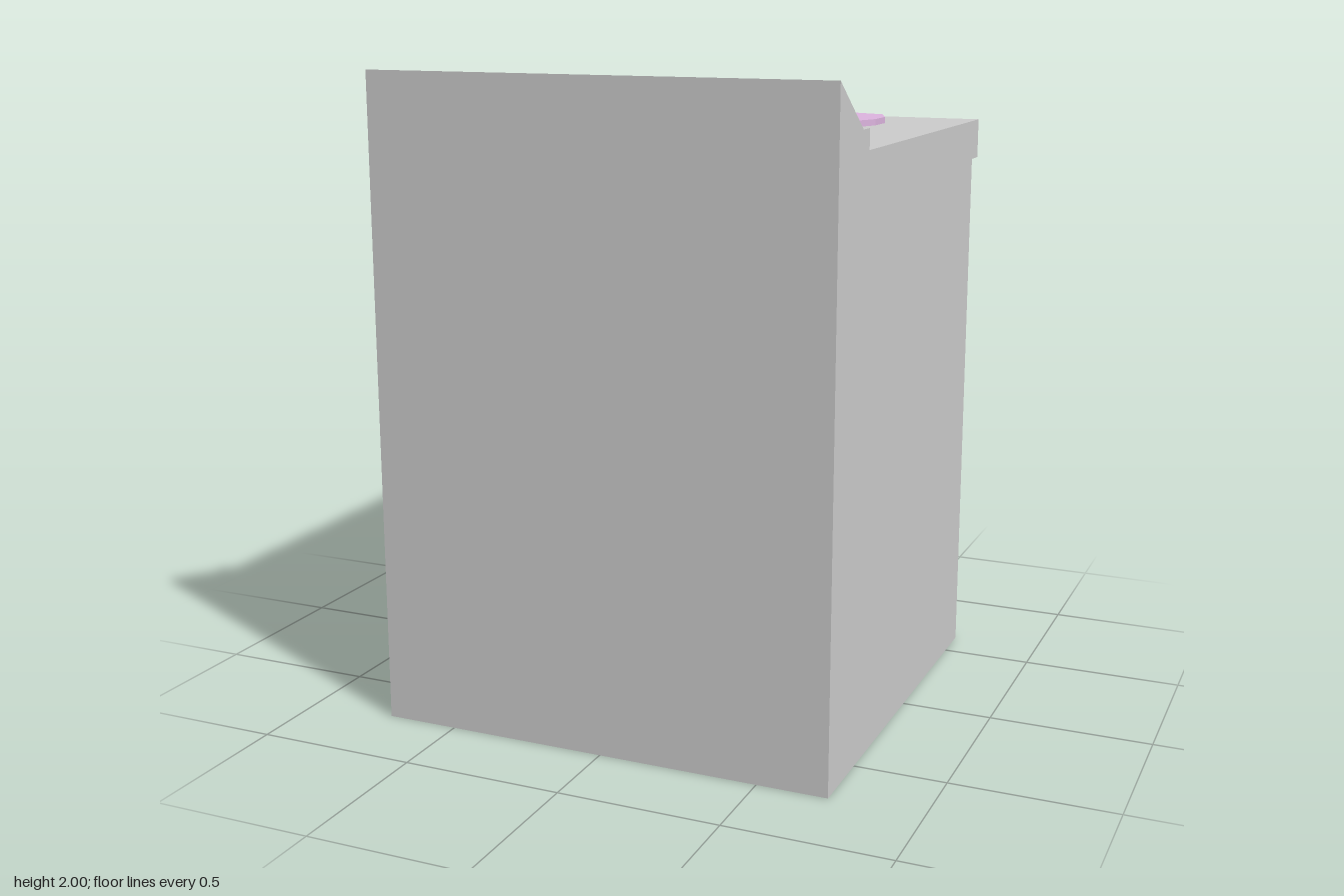
import * as THREE from 'three';

const mat = (color) => new THREE.MeshStandardMaterial({ color });
const grey = mat(0xcccccc);
const rose = mat(0xc8a5a3);
const glass = mat(0xb0b3b2);
const lilac = mat(0xdcb4de);
const black = mat(0x111111);

const DOOR_X = [-0.685, 0.67];

function add(parent, name, geometry, material) {
  const mesh = new THREE.Mesh(geometry, material);
  mesh.name = name;
  parent.add(mesh);
  return mesh;
}

// Box given by its limits on each axis
function slab([x0, x1], [y0, y1], [z0, z1], xSegs = 1, ySegs = 1) {
  const g = new THREE.BoxGeometry(x1 - x0, y1 - y0, z1 - z0, xSegs, ySegs, 1);
  return g.translate((x0 + x1) / 2, (y0 + y1) / 2, (z0 + z1) / 2);
}

// Pushes the vertices of the outer (-z) face outwards by a rule
function bulge(g, rule) {
  g.computeBoundingBox();
  const outer = g.boundingBox.min.z;
  const p = g.attributes.position;
  for (let i = 0; i < p.count; i++) {
    if (p.getZ(i) < outer + 1e-4) p.setZ(i, outer - rule(p.getX(i), p.getY(i)));
  }
  g.computeVertexNormals();
  return g;
}

const arch = (x) => Math.max(0, 1 - (x / 0.68) ** 2);

// Twelve-sided hotplate with soft corners
function hotplate(rx, rz, height, squareBack) {
  const quarter = [[1, 0.26], [0.8, 0.82], [0.32, 1]];
  const pts = [];
  for (const [sx, sz] of [[1, 1], [-1, 1], [-1, -1], [1, -1]]) {
    const corner = quarter.map(([x, z], i) =>
      new THREE.Vector2(sx * x * rx, sz * rz * (squareBack && i === 1 && sz > 0 ? 0.93 : z)));
    pts.push(...(sx * sz > 0 ? corner : corner.reverse()));
  }
  const g = new THREE.ExtrudeGeometry(new THREE.Shape(pts), { depth: height, bevelEnabled: false });
  return g.rotateX(-Math.PI / 2);
}

export function createModel() {
  const stove = new THREE.Group();
  stove.name = 'stove';

  // Body, cooktop lip and sloping backguard share one side profile (z, y)
  const profile = [
    [0.73, 0], [0.73, 2], [0.53, 1.86], [0.475, 1.86], [0.475, 1.8],
    [-0.7, 1.8], [-0.7, 1.675], [-0.63, 1.675], [-0.63, 0],
  ].map(([z, y]) => new THREE.Vector2(-z, y));
  const body = new THREE.ExtrudeGeometry(new THREE.Shape(profile), { depth: 1.445, bevelEnabled: false });
  body.rotateY(Math.PI / 2).translate(-0.727, 0, 0);
  add(stove, 'body', body, grey);

  // Control display on the backguard slope
  const display = add(stove, 'display', new THREE.BoxGeometry(0.135, 0.016, 0.165), black);
  display.position.set(-0.478, 1.925 + 0.014, 0.617);
  display.rotation.x = -Math.atan2(0.14, 0.2);

  // Hotplates
  const plates = [
    [-0.296, -0.375, 0.129, 0.122, 0.015],
    [0.28, -0.374, 0.2, 0.187, 0.02],
    [-0.296, 0.143, 0.219, 0.213, 0.015],
    [0.282, 0.14, 0.162, 0.141, 0.015, true],
  ];
  for (const [x, z, rx, rz, h, squareBack] of plates) {
    add(stove, 'hotplate', hotplate(rx, rz, h, squareBack), lilac).position.set(x, 1.8, z);
  }

  // Oven door: backing, bowed frame strips and window
  const door = new THREE.Group();
  door.name = 'ovenDoor';
  stove.add(door);
  add(door, 'doorBacking', slab(DOOR_X, [0.45, 1.63], [-0.652, -0.625]), grey);
  const frameX = [DOOR_X[0] + 0.012, DOOR_X[1] - 0.012];
  const frameZ = [-0.66, -0.64];
  const strips = [
    [frameX, [1.41, 1.618], 0],
    [frameX, [1.22, 1.41], 0.025],
    [frameX, [0.462, 0.545], 0.01],
    [[frameX[0], -0.59], [0.545, 1.22], 0.006],
    [[0.575, frameX[1]], [0.545, 1.22], 0.006],
  ];
  for (const [xs, ys, depth] of strips) {
    const g = bulge(slab(xs, ys, frameZ, 8), (x) => depth * arch(x));
    add(door, 'doorFrame', g, rose);
  }
  const pane = bulge(slab([-0.59, 0.575], [0.545, 1.22], [-0.655, -0.64], 8),
    (x) => 0.01 * arch(x));
  add(door, 'window', pane, glass);

  // Handle: bowed bar that is deeper along its lower edge
  const handle = bulge(slab([-0.65, 0.65], [1.41, 1.465], [-0.69, -0.65], 13),
    (x, y) => 0.018 + 0.025 * Math.min(1, (0.65 - Math.abs(x)) / 0.3) - (y > 1.44 ? 0.02 : 0));
  add(door, 'handle', handle, black);

  // Drawer with a swollen front, fullest near its top
  const drawer = new THREE.Group();
  drawer.name = 'drawer';
  stove.add(drawer);
  add(drawer, 'drawerBacking', slab(DOOR_X, [0.062, 0.425], [-0.65, -0.625]), grey);
  const front = bulge(slab(frameX, [0.072, 0.415], [-0.658, -0.64], 12, 4), (x, y) => {
    const rise = y < 0.335 ? (y - 0.072) / 0.258 : (0.415 - y) / 0.08;
    return 0.042 * arch(x) * THREE.MathUtils.clamp(rise, 0, 1);
  });
  add(drawer, 'drawerFront', front, rose);

  return stove;
}
